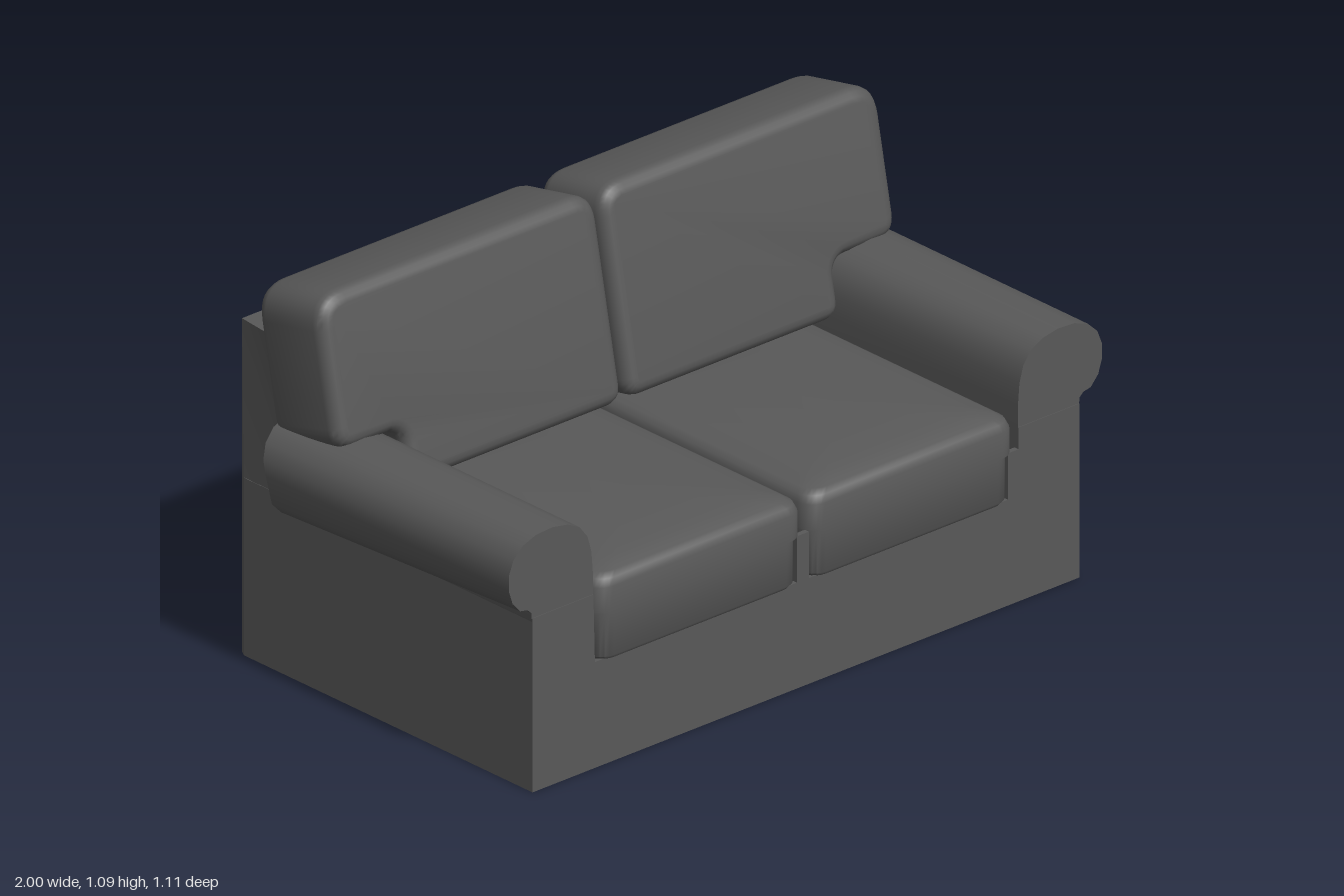
import * as THREE from 'three';
import { toCreasedNormals, mergeVertices } from 'three/addons/utils/BufferGeometryUtils.js';

const fabric = new THREE.MeshStandardMaterial({ color: 0x595959 });
fabric.name = 'charcoal fabric';

function part(name, geometry) {
  const mesh = new THREE.Mesh(geometry, fabric);
  mesh.name = name;
  return mesh;
}

const polygon = pts => new THREE.Shape(pts.map(p => new THREE.Vector2(p[0], p[1])));

function extrude(shape, depth, options = {}) {
  return new THREE.ExtrudeGeometry(shape, { depth, bevelEnabled: false, curveSegments: 8, ...options });
}

// Applies a rule to every vertex
function reshape(geometry, rule) {
  const pos = geometry.attributes.position, v = new THREE.Vector3();
  for (let i = 0; i < pos.count; i++) {
    v.fromBufferAttribute(pos, i);
    rule(v);
    pos.setXYZ(i, v.x, v.y, v.z);
  }
  return geometry;
}

const creased = (geometry, angle = 0.7) => toCreasedNormals(geometry, angle);

// Polygon with rounded corners; each corner is [x, y, radius]
function roundedPolygon(corners) {
  const shape = new THREE.Shape();
  const n = corners.length;
  corners.forEach((c, i) => {
    const p = new THREE.Vector2(c[0], c[1]);
    const towards = o => p.clone().add(new THREE.Vector2(o[0], o[1]).sub(p).setLength(c[2]));
    const a = towards(corners[(i + n - 1) % n]), b = towards(corners[(i + 1) % n]);
    if (i === 0) shape.moveTo(a.x, a.y); else shape.lineTo(a.x, a.y);
    shape.quadraticCurveTo(p.x, p.y, b.x, b.y);
  });
  shape.closePath();
  return shape;
}

// Seat cushion: rounded rectangles stacked upwards, each [height, inset]
function seatGeometry(x0, x1, z0, z1) {
  const rings = [[0.33, 0.3], [0.33, 0.12], [0.29, 0.05], [0.29, 0.015], [0.3, 0.008], [0.42, 0.008],
    [0.425, 0], [0.495, 0], [0.515, 0.008], [0.525, 0.025], [0.535, 0.08], [0.542, 0.18], [0.545, 0.3]];
  const steps = 6, count = 4 * (steps + 1), positions = [], index = [];
  const cx = (x0 + x1) / 2, cz = (z0 + z1) / 2;
  for (const [y, inset] of rings) {
    const hx = (x1 - x0) / 2 - inset, hz = (z1 - z0) / 2 - inset, r = 0.05;
    for (let q = 0; q < 4; q++) {
      const sx = q === 0 || q === 3 ? 1 : -1, sz = q < 2 ? 1 : -1;
      for (let s = 0; s <= steps; s++) {
        const a = (q + s / steps) * Math.PI / 2;
        positions.push(cx + sx * Math.max(hx - r, 0) + r * Math.cos(a), y,
          cz + sz * Math.max(hz - r, 0) + r * Math.sin(a));
      }
    }
  }
  for (let j = 0; j < rings.length - 1; j++) {
    for (let i = 0; i < count; i++) {
      const a = j * count + i, b = j * count + (i + 1) % count;
      index.push(a, a + count, b, b, a + count, b + count);
    }
  }
  // Close both ends
  const last = (rings.length - 1) * count;
  const bottom = positions.length / 3, top = bottom + 1;
  positions.push(cx, 0.33, cz, cx, 0.546, cz);
  for (let i = 0; i < count; i++) {
    const k = (i + 1) % count;
    index.push(bottom, i, k, top, last + k, last + i);
  }
  const g = new THREE.BufferGeometry();
  g.setAttribute('position', new THREE.Float32BufferAttribute(positions, 3));
  g.setIndex(index);
  return creased(mergeVertices(g), 0.8);
}

// Rolled arm, cut at a slant where it meets the back
function armGeometry(side) {
  const profile = [[0.91, 0.42], [0.92, 0.47], [0.922, 0.495], [0.935, 0.507], [0.96, 0.512], [0.985, 0.54],
    [0.998, 0.58], [0.998, 0.62], [0.982, 0.66], [0.95, 0.69], [0.905, 0.706], [0.85, 0.709], [0.8, 0.7],
    [0.76, 0.68], [0.733, 0.645], [0.72, 0.6], [0.715, 0.54], [0.715, 0.42]];
  const g = extrude(polygon(profile.map(p => [p[0] * side, p[1]])), 1);
  return creased(reshape(g, v => {
    if (v.z > 0.5) { v.z = 0.53; return; }
    v.z = -0.345 - (v.y - 0.47) * 0.22;
    if (Math.abs(v.x) > 0.921 && v.y < 0.55) v.y -= 0.04;
  }));
}

// Back cushion with a wing that rests over the arm
function backCushionGeometry(side) {
  const corners = [[0.006, 0, 0.05], [0.725, 0, 0.05], [0.725, 0.15, 0.05], [0.943, 0.15, 0.06],
    [0.943, 0.558, 0.09], [0.006, 0.558, 0.08]];
  const shape = roundedPolygon(corners.map(c => [c[0] * side, c[1], c[2]]));
  const bevel = 0.036;
  const g = extrude(shape, 0.25 - 2 * bevel, {
    bevelEnabled: true, bevelSize: bevel, bevelOffset: -bevel, bevelThickness: bevel, bevelSegments: 4
  });
  g.translate(0, 0, -0.23 + bevel);
  return creased(g, 0.6);
}

export function createModel() {
  const sofa = new THREE.Group();
  sofa.name = 'sofa';

  // Back: thin wall below, wedge above, with narrowed rear corners
  const backProfile = [[0.555, 0], [0.555, 0.92], [0.45, 0.92], [0.34, 0.47], [0.34, 0.42], [0.535, 0.42], [0.535, 0]];
  const back = extrude(polygon(backProfile), 1.84);
  back.rotateY(Math.PI / 2).translate(-0.92, 0, 0);
  reshape(back, v => { if (v.z < -0.54) v.x *= 0.988; });
  sofa.add(part('backFrame', creased(back, 0.4)));

  // Front panel with rises beside and between the seat cushions
  const front = extrude(polygon([[-0.92, 0], [0.92, 0], [0.92, 0.48], [0.715, 0.48], [0.715, 0.42], [0.68, 0.42],
    [0.68, 0.292], [0.01, 0.292], [0.01, 0.42], [-0.03, 0.42], [-0.03, 0.292], [-0.71, 0.292],
    [-0.715, 0.48], [-0.92, 0.48]]), 0.015);
  front.translate(0, 0, 0.517);
  sofa.add(part('frontPanel', front));

  for (const side of [1, -1]) {
    const label = side > 0 ? 'left' : 'right';
    const wall = new THREE.BoxGeometry(0.012, 0.49, 1.065);
    wall.translate(side * 0.914, 0.245, -0.003);
    sofa.add(part(label + 'SideWall', wall));
    sofa.add(part(label + 'Arm', armGeometry(side)));

    const cushion = part(label + 'BackCushion', backCushionGeometry(side));
    cushion.position.set(0, 0.545, -0.145);
    cushion.rotation.x = -0.2;
    sofa.add(cushion);
  }

  sofa.add(part('leftSeatCushion', seatGeometry(-0.003, 0.693, -0.33, 0.553)));
  sofa.add(part('rightSeatCushion', seatGeometry(-0.716, -0.02, -0.33, 0.553)));
  return sofa;
}
